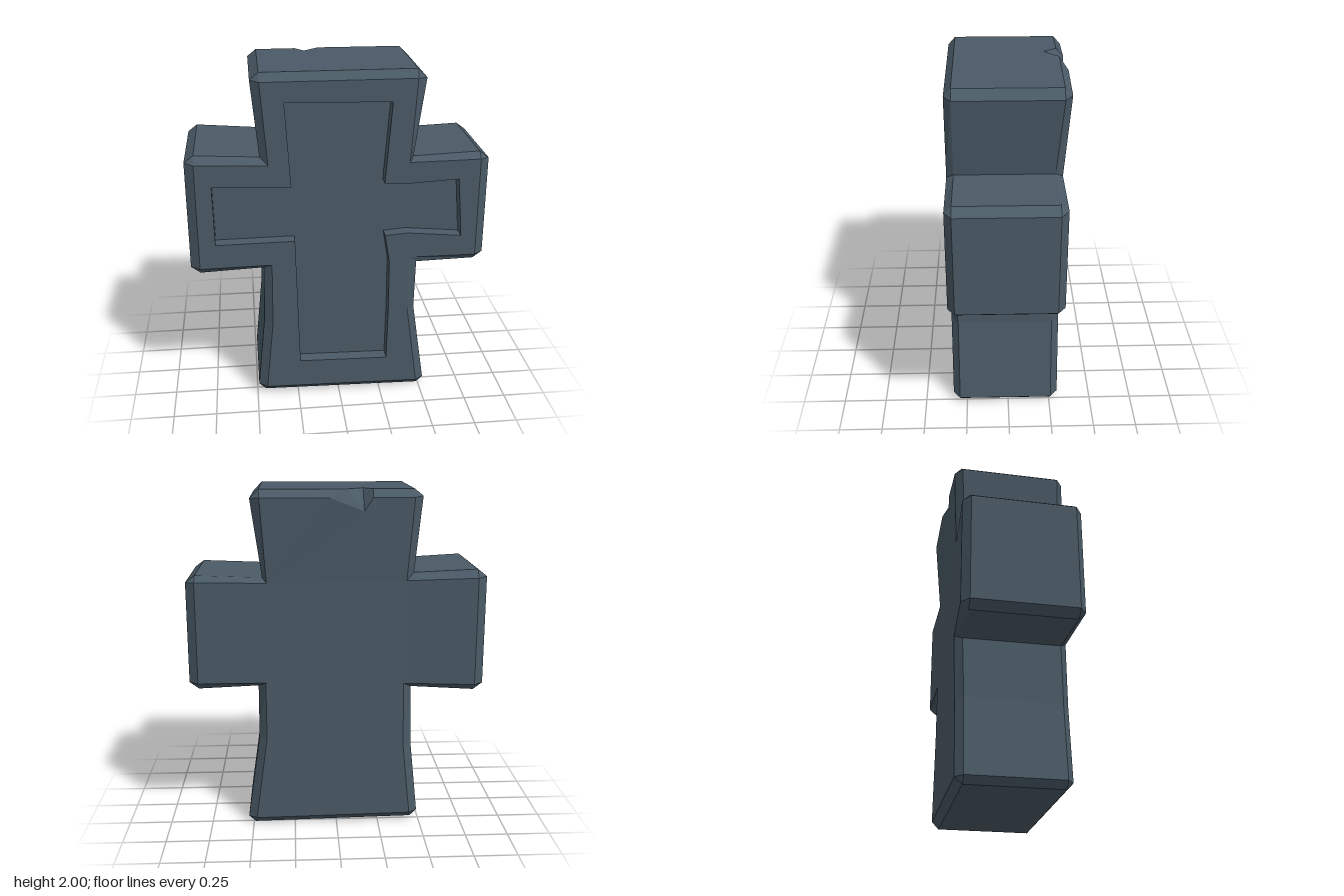
import * as THREE from 'three';

const material = new THREE.MeshStandardMaterial({ color: 0x4a5a66, flatShading: true });
const FRONT = 0.333, FLOOR = 0.255;

// Outline corners, counter-clockwise from the bottom left.
// face: corner of the front/back face; rim: one or two points on the side walls;
// back: depth of the back face; optional overrides shape worn spots.
const corners = [
  { face: [-0.44, 0.06], rim: [[-0.49, 0.06], [-0.45, 0.02]], back: -0.30 },
  { face: [0.48, 0.045], rim: [[0.49, 0.003], [0.53, 0.04]], back: -0.30 },
  { face: [0.41, 0.55], rim: [[0.455, 0.55]], back: -0.30 },
  { face: [0.41, 0.895], rim: [[0.455, 0.86]], back: -0.30, rimFront: 0.32, rimBack: -0.23 },
  { face: [0.80, 0.895], rim: [[0.80, 0.855], [0.853, 0.895]], back: -0.30 },
  { face: [0.80, 1.485], rim: [[0.853, 1.48], [0.80, 1.52]], back: -0.30 },
  { face: [0.395, 1.48], rim: [[0.42, 1.505]], back: -0.30 },
  { face: [0.425, 1.955], rim: [[0.48, 1.95], [0.43, 2.0]], back: -0.335 },
  // chipped notch in the back top edge
  { face: [-0.06, 1.955], rim: [[-0.06, 2.0]], back: -0.345, backFace: [0.04, 1.955], rimBack: -0.30 },
  { face: [-0.15, 1.955], rim: [[-0.15, 2.0]], back: -0.33, backFace: [-0.15, 1.88], rimBack: -0.22 },
  { face: [-0.20, 1.955], rim: [[-0.20, 2.0]], back: -0.334, backFace: [-0.20, 1.955] },
  { face: [-0.43, 1.955], rim: [[-0.43, 2.0], [-0.48, 1.96]], back: -0.333 },
  { face: [-0.395, 1.49], rim: [[-0.44, 1.53]], back: -0.31 },
  { face: [-0.80, 1.505], rim: [[-0.80, 1.55], [-0.853, 1.51]], back: -0.337 },
  { face: [-0.80, 0.88], rim: [[-0.853, 0.88], [-0.80, 0.84]], back: -0.337 },
  { face: [-0.39, 0.885], rim: [[-0.435, 0.855]], back: -0.31 },
  { face: [-0.395, 0.50], rim: [[-0.445, 0.50]], back: -0.30 },
];

// Outline of the sunken panel, counter-clockwise
const recess = [
  [-0.235, 0.23], [0.29, 0.22], [0.295, 0.55], [0.293, 0.87], [0.265, 1.04], [0.40, 1.05],
  [0.71, 1.02], [0.68, 1.37], [0.40, 1.355], [0.255, 1.36], [0.29, 1.83], [-0.30, 1.84],
  [-0.27, 1.36], [-0.40, 1.36], [-0.71, 1.375], [-0.705, 1.025], [-0.255, 1.03],
];

const at = (points, z) => points.map(([x, y]) => [x, y, z]);

// Band of quads between two closed rings; outward when a lies in front of b
function band(out, a, b) {
  a.forEach((p, i) => {
    const j = (i + 1) % a.length;
    out.push(p, b[i], b[j], p, b[j], a[j]);
  });
}

// Triangulated cap over a ring, with an optional hole
function cap(out, ring, hole = [], flip = false) {
  const flat = (pts) => pts.map((p) => new THREE.Vector2(p[0], p[1]));
  const all = [...ring, ...hole];
  const holes = hole.length ? [flat(hole)] : [];
  for (const [i, j, k] of THREE.ShapeUtils.triangulateShape(flat(ring), holes)) {
    const [a, b, c] = [all[i], all[j], all[k]];
    const ccw = (b[0] - a[0]) * (c[1] - a[1]) - (b[1] - a[1]) * (c[0] - a[0]) > 0;
    out.push(...(ccw !== flip ? [a, b, c] : [a, c, b]));
  }
}

function makeMesh(name, points) {
  const geometry = new THREE.BufferGeometry();
  geometry.setAttribute('position', new THREE.Float32BufferAttribute(points.flat(), 3));
  geometry.computeVertexNormals();
  const mesh = new THREE.Mesh(geometry, material);
  mesh.name = name;
  return mesh;
}

export function createModel() {
  const group = new THREE.Group();
  group.name = 'stoneCross';

  // Four rings: front face, front rim, back rim, back face
  const rings = [[], [], [], []];
  for (const c of corners) {
    for (const r of c.rim) {
      rings[0].push([...c.face, FRONT]);
      rings[1].push([...r, c.rimFront ?? FRONT - 0.04]);
      rings[2].push([...r, c.rimBack ?? c.back + 0.042]);
      rings[3].push([...(c.backFace ?? c.face), c.back]);
    }
  }

  // Side walls and chamfers
  const sides = [];
  for (let i = 0; i < 3; i++) band(sides, rings[i], rings[i + 1]);
  group.add(makeMesh('chamferedSides', sides));

  // Front border around the recess, and the back face
  const front = [], back = [];
  cap(front, at(corners.map((c) => c.face), FRONT), at([...recess].reverse(), FRONT));
  group.add(makeMesh('frontBorder', front));
  cap(back, corners.map((c) => [...(c.backFace ?? c.face), c.back]), [], true);
  group.add(makeMesh('backFace', back));

  // Sunken panel with its inward-facing walls
  const panel = [];
  band(panel, at(recess, FLOOR), at(recess, FRONT));
  cap(panel, at(recess, FLOOR));
  group.add(makeMesh('recessedPanel', panel));

  return group;
}
